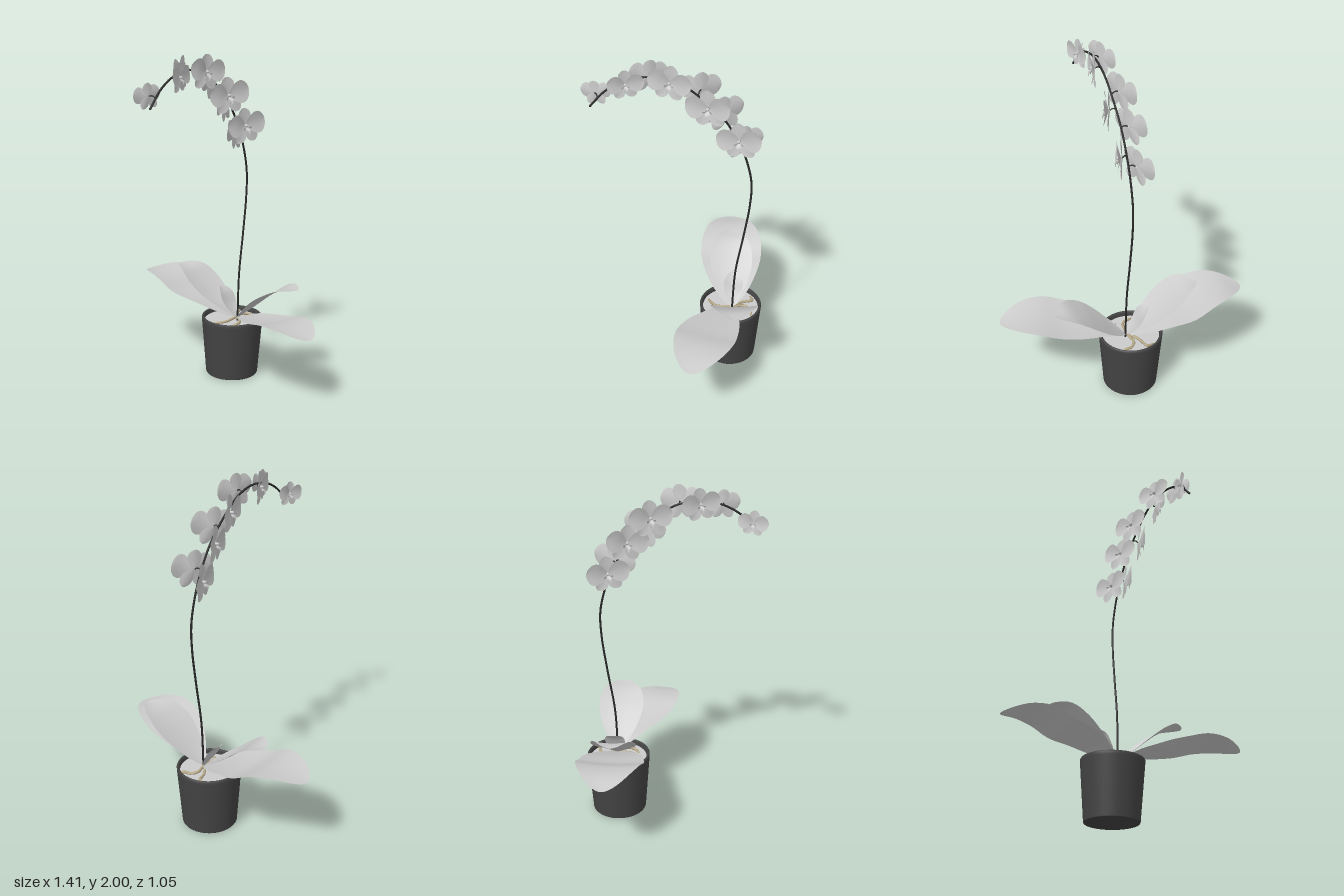
import * as THREE from 'three';

const material = (color, side = THREE.DoubleSide) => new THREE.MeshStandardMaterial({ color, side });
const grey = material(0xcccccc);
const potDark = material(0x444444);
const stemDark = material(0x2a2a2a);
const rootTan = material(0xb5a785);
const V = (p) => new THREE.Vector3(...p);

function add(parent, name, geometry, mat) {
  const mesh = new THREE.Mesh(geometry, mat);
  mesh.name = name;
  parent.add(mesh);
  return mesh;
}

function tube(points, radius, segments = 24) {
  return new THREE.TubeGeometry(new THREE.CatmullRomCurve3(points.map(V)), segments, radius, 8);
}

// A thin blade swept along a centreline: rounded outline, edges lifted by fold
function blade(points, { half, up, skew = 1, round = 0.6, fold = 0, tilt = 0, nu = 6, nv = 24 }) {
  const curve = new THREE.CatmullRomCurve3(points.map(V));
  const geo = new THREE.PlaneGeometry(2, 1, nu, nv);
  const pos = geo.attributes.position;
  for (let i = 0; i < pos.count; i++) {
    const s = pos.getX(i);
    const t = (1 - Math.cos(Math.PI * (pos.getY(i) + 0.5))) / 2;
    const w = half * (0.03 + Math.pow(Math.max(0, Math.sin(Math.PI * Math.pow(t, skew))), round));
    const tangent = curve.getTangentAt(t);
    const side = tangent.clone().cross(up).normalize();
    const p = curve.getPointAt(t)
      .addScaledVector(side, w * s)
      .addScaledVector(up, w * (fold * s * s + tilt * s));
    pos.setXYZ(i, p.x, p.y, p.z);
  }
  geo.computeVertexNormals();
  return geo;
}

// One blossom facing local +z
function makeFlower() {
  const flower = new THREE.Group();
  flower.name = 'flower';
  const up = new THREE.Vector3(0, 0, 1);
  const petal = (name, angle, length, half, z0, lift, skew) => {
    const c = Math.cos(angle), s = Math.sin(angle);
    const at = (r, z) => [c * r, s * r, z0 + z];
    add(flower, name, blade(
      [at(0.004, 0), at(length * 0.5, lift * 0.8), at(length, lift)],
      { half, up, skew, round: 0.55, fold: 0.15, nu: 4, nv: 14 }), grey);
  };
  // three narrower sepals behind two broad petals
  petal('dorsalSepal', Math.PI / 2, 0.105, 0.042, 0, 0.004, 1.2);
  for (const m of [-1, 1]) {
    petal('lowerSepal', -Math.PI / 2 + m * 0.62, 0.115, 0.038, 0, 0.006, 1.2);
    petal('broadPetal', Math.PI / 2 - m * 1.4, 0.13, 0.064, 0.008, 0.016, 1.25);
    // upturned side lobes of the lip
    add(flower, 'lipSideLobe', blade(
      [[0, -0.012, 0.012], [m * 0.016, -0.016, 0.025], [m * 0.024, -0.006, 0.036]],
      { half: 0.011, up, fold: 0.3, nu: 4, nv: 8 }), grey);
  }
  add(flower, 'lip', blade(
    [[0, -0.008, 0.012], [0, -0.026, 0.032], [0, -0.05, 0.036]],
    { half: 0.014, up, fold: 0.4, nu: 4, nv: 10 }), grey);
  const column = add(flower, 'column', new THREE.SphereGeometry(0.009, 10, 8), grey);
  column.position.set(0, 0.002, 0.02);
  column.scale.z = 1.5;
  return flower;
}

export function createModel() {
  const model = new THREE.Group();
  model.name = 'pottedOrchid';

  // Tapered pot with a rolled rim and an open inside
  const potGroup = new THREE.Group();
  potGroup.name = 'potGroup';
  potGroup.position.set(-0.016, 0, -0.323);
  model.add(potGroup);
  const profile = [[0, 0], [0.158, 0], [0.161, 0.004], [0.187, 0.345], [0.188, 0.36], [0.184, 0.368],
    [0.176, 0.368], [0.171, 0.36], [0.168, 0.325]].map(([r, y]) => new THREE.Vector2(r, y));
  add(potGroup, 'pot', new THREE.LatheGeometry(profile, 48), potDark);
  const soil = add(potGroup, 'soil', new THREE.CircleGeometry(0.17, 40), grey);
  soil.rotation.x = -Math.PI / 2;
  soil.position.y = 0.34;

  // Roots wandering over the soil
  const roots = [
    [[0.01, 0.36, -0.34], [0.0, 0.355, -0.41], [0.03, 0.35, -0.44], [0.07, 0.347, -0.445], [0.1, 0.335, -0.46]],
    [[0.0, 0.36, -0.34], [-0.04, 0.352, -0.4], [-0.06, 0.35, -0.46], [-0.11, 0.335, -0.45]],
    [[0.01, 0.36, -0.32], [0.0, 0.355, -0.24], [-0.03, 0.35, -0.21], [-0.08, 0.335, -0.19]],
    [[0.02, 0.36, -0.33], [0.06, 0.352, -0.3], [0.07, 0.348, -0.24], [0.03, 0.335, -0.2]],
  ];
  for (const r of roots) add(model, 'root', tube(r, 0.008), rootTan);

  // Leaves: two long, two medium, one young
  const up = new THREE.Vector3(0, 1, 0);
  const leaves = [
    { half: 0.185, skew: 1.12, fold: 0.08, path: [[0.01, 0.36, -0.33], [-0.1, 0.41, -0.33],
      [-0.22, 0.455, -0.33], [-0.34, 0.485, -0.335], [-0.46, 0.54, -0.34], [-0.58, 0.555, -0.345], [-0.71, 0.53, -0.35]] },
    { half: 0.127, skew: 1.25, fold: 0.12, path: [[0.01, 0.36, -0.33], [-0.07, 0.42, -0.33],
      [-0.16, 0.48, -0.33], [-0.25, 0.55, -0.33], [-0.34, 0.615, -0.33], [-0.425, 0.63, -0.33]] },
    { half: 0.058, skew: 1.2, fold: 0.2, path: [[0.01, 0.36, -0.335], [-0.04, 0.43, -0.338],
      [-0.08, 0.5, -0.34], [-0.115, 0.535, -0.34]] },
    { half: 0.132, skew: 1.25, fold: 0.12, path: [[0.02, 0.36, -0.33], [0.1, 0.425, -0.33],
      [0.18, 0.495, -0.328], [0.27, 0.565, -0.326], [0.36, 0.615, -0.325], [0.45, 0.63, -0.32]] },
    { half: 0.165, skew: 1.35, fold: 0.08, tilt: 0.06, path: [[0.02, 0.36, -0.33], [0.12, 0.405, -0.29],
      [0.24, 0.43, -0.24], [0.36, 0.455, -0.185], [0.48, 0.485, -0.14], [0.59, 0.485, -0.1], [0.7, 0.46, -0.065]] },
  ];
  for (const { path, ...shape } of leaves) add(model, 'leaf', blade(path, { up, nu: 8, nv: 32, ...shape }), grey);

  // Arching flower stem
  const stem = [[0.34, -0.33], [0.64, -0.342], [0.9, -0.38], [1.12, -0.408], [1.27, -0.41], [1.42, -0.375],
    [1.55, -0.32], [1.68, -0.24], [1.8, -0.12], [1.885, 0.0], [1.92, 0.13], [1.9, 0.27], [1.84, 0.38], [1.75, 0.465]];
  const stemPoints = stem.map(([y, z]) => [0.02, y, z]);
  add(model, 'stem', tube(stemPoints, 0.006, 100), stemDark);
  const tip = add(model, 'stemTip', new THREE.SphereGeometry(0.007, 8, 6), stemDark);
  tip.position.set(0.02, 1.75, 0.465);

  // Blossoms alternating along the arch: side, y, z, scale, yaw towards the front, roll
  const stemCurve = new THREE.CatmullRomCurve3(stemPoints.map(V));
  const samples = stemCurve.getPoints(200);
  const flowers = [
    [-1, 1.51, -0.36, 0.95, 0.3, 0.1], [1, 1.56, -0.335, 1, 0.35, 0.12],
    [-1, 1.69, -0.25, 0.95, 0.35, -0.1], [1, 1.755, -0.165, 1, 0.4, 0.1],
    [-1, 1.83, -0.12, 0.95, 0.3, 0.08], [1, 1.905, 0.04, 0.92, 0.25, -0.1],
    [-1, 1.91, 0.15, 0.85, 0.35, 0.1], [1, 1.895, 0.275, 0.76, -0.2, 0.05],
    [-1, 1.81, 0.44, 0.66, -0.25, -0.1],
  ];
  for (const [side, y, z, scale, yaw, roll] of flowers) {
    const flower = makeFlower();
    flower.position.set(0.02 + side * 0.032, y, z);
    flower.rotation.set(0, side * (Math.PI / 2 - yaw), roll);
    flower.scale.setScalar(scale);
    model.add(flower);
    // short stalk joining the blossom to the nearest point of the stem
    const end = flower.position;
    const start = samples.reduce((a, b) => (a.distanceTo(end) < b.distanceTo(end) ? a : b));
    const mid = start.clone().lerp(end, 0.5);
    mid.y += 0.008;
    add(model, 'flowerStalk', tube([start.toArray(), mid.toArray(), end.toArray()], 0.0035, 8), stemDark);
  }
  return model;
}
